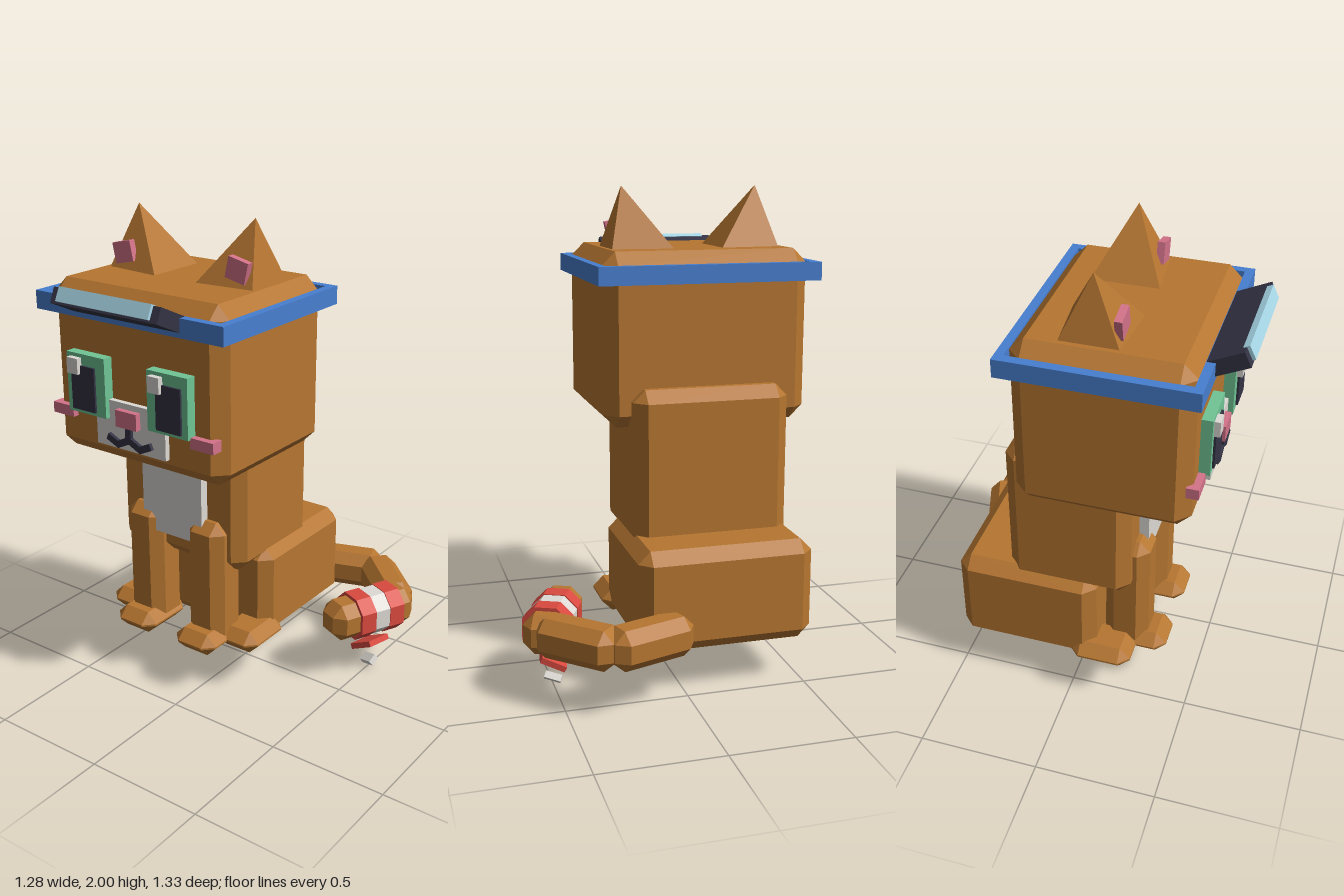
import * as THREE from 'three';
import { ConvexGeometry } from 'three/addons/geometries/ConvexGeometry.js';

const mat = (name, color) => {
  const m = new THREE.MeshStandardMaterial({ color });
  m.name = name;
  return m;
};

// Box of size w, h, d with all edges cut at 45 degrees by c
function chamferBox(w, h, d, c) {
  const pts = [];
  for (const sx of [-1, 1]) for (const sy of [-1, 1]) for (const sz of [-1, 1]) {
    const x = w / 2, y = h / 2, z = d / 2;
    pts.push(new THREE.Vector3(sx * x, sy * (y - c), sz * (z - c)));
    pts.push(new THREE.Vector3(sx * (x - c), sy * y, sz * (z - c)));
    pts.push(new THREE.Vector3(sx * (x - c), sy * (y - c), sz * z));
  }
  return new ConvexGeometry(pts);
}

// Eight-sided prism along z
function octPrism(w, c, d) {
  const r = w / 2, pts = [];
  for (const sx of [-1, 1]) for (const sy of [-1, 1]) for (const z of [-d / 2, d / 2]) {
    pts.push(new THREE.Vector3(sx * r, sy * (r - c), z), new THREE.Vector3(sx * (r - c), sy * r, z));
  }
  return new ConvexGeometry(pts);
}

export function createModel() {
  const fur = mat('fur brown', 0xb67631);
  const blue = mat('cap blue', 0x487fd0);
  const dark = mat('charcoal', 0x343344);
  const glass = mat('pale blue', 0xa8d8e8);
  const green = mat('eye green', 0x70c595);
  const white = mat('off white', 0xdedad5);
  const pink = mat('pink', 0xd4738a);
  const red = mat('red', 0xd94a40);

  const model = new THREE.Group();
  model.name = 'sittingCat';
  const CX = -0.175; // the body's mirror plane

  const add = (name, geo, material, x = 0, y = 0, z = 0) => {
    const m = new THREE.Mesh(geo, material);
    m.name = name;
    m.position.set(x, y, z);
    model.add(m);
    return m;
  };
  // Boxes given by their limits, plain or chamfered
  const box = (name, material, x0, x1, y0, y1, z0, z1, c = 0) => add(name,
    c ? chamferBox(x1 - x0, y1 - y0, z1 - z0, c) : new THREE.BoxGeometry(x1 - x0, y1 - y0, z1 - z0),
    material, (x0 + x1) / 2, (y0 + y1) / 2, (z0 + z1) / 2);

  // Body
  box('head', fur, -0.608, 0.255, 1.04, 1.75, -0.195, 0.497, 0.055);
  box('torso', fur, -0.505, 0.15, 0.54, 1.205, -0.275, 0.24, 0.05);
  box('haunches', fur, -0.54, 0.19, 0.18, 0.605, -0.495, 0.105, 0.05);
  box('chestPatch', white, -0.333, -0.02, 0.655, 1.1, 0.2, 0.28);

  // Face
  box('muzzle', white, -0.352, 0.0, 1.115, 1.31, 0.47, 0.52);
  box('nose', pink, -0.23, -0.124, 1.217, 1.286, 0.5, 0.545);
  box('mouthStem', dark, -0.192, -0.163, 1.155, 1.217, 0.51, 0.535);

  for (const s of [-1, 1]) {
    const side = s < 0 ? 'right' : 'left';
    const span = (name, m, a, b, ...rest) =>
      box(side + name, m, CX + (s < 0 ? -b : a), CX + (s < 0 ? -a : b), ...rest);

    // Legs and paws
    span('FrontLeg', fur, 0.07, 0.256, 0.2, 0.76, 0.115, 0.302, 0.045);
    span('FrontPaw', fur, 0.058, 0.268, 0.18, 0.278, 0.11, 0.385, 0.045);
    span('HindPaw', fur, 0.19, 0.4, 0.18, 0.278, 0.0, 0.262, 0.045);

    // Eyes, both glints lying toward the same side
    span('Eye', green, 0.107, 0.304, 1.235, 1.48, 0.48, 0.541);
    span('Pupil', dark, 0.155, 0.276, 1.25, 1.434, 0.5, 0.55);
    const gx = s < 0 ? -0.458 : -0.045;
    box(side + 'EyeGlint', white, gx, gx + 0.056, 1.4, 1.465, 0.52, 0.565);
    span('Cheek', pink, 0.3, 0.41, 1.198, 1.243, 0.475, 0.525);

    // Curved lip made of two short bars
    for (const [x0, y0, x1, y1] of [[0, 1.165, 0.058, 1.137], [0.055, 1.137, 0.105, 1.16]]) {
      const bar = add(side + 'Lip', new THREE.BoxGeometry(Math.hypot(x1 - x0, y1 - y0) + 0.012, 0.028, 0.025),
        dark, CX + s * (x0 + x1) / 2, (y0 + y1) / 2, 0.5225);
      bar.rotation.z = s * Math.atan2(y1 - y0, x1 - x0);
    }

    // Leaning pyramid ears with pink pads
    const ear = [[0.36, 1.74, -0.025], [0.097, 1.74, -0.05], [0.097, 1.74, 0.235],
      [0.36, 1.74, 0.21], [0.291, 2.0, 0.093]];
    add(side + 'Ear', new ConvexGeometry(ear.map(([x, y, z]) => new THREE.Vector3(CX + s * x, y, z))), fur);
    const pad = add(side + 'InnerEar', new THREE.BoxGeometry(0.094, 0.086, 0.03), pink, CX + s * 0.285, 1.818, 0.195);
    pad.rotation.z = -s * 0.22;
  }

  // Cap band: rectangular loop around the head
  const band = new THREE.Shape();
  const loop = (p, x0, x1, y0, y1) => p.moveTo(x0, y0).lineTo(x1, y0).lineTo(x1, y1).lineTo(x0, y1).closePath();
  loop(band, -0.642, 0.288, -0.528, 0.233);
  const opening = new THREE.Path();
  loop(opening, -0.603, 0.253, -0.493, 0.198);
  band.holes.push(opening);
  const bandGeo = new THREE.ExtrudeGeometry(band, { depth: 0.075, bevelEnabled: false });
  bandGeo.rotateX(-Math.PI / 2);
  add('capBand', bandGeo, blue, 0, 1.624, 0);

  // Upturned visor with a pale strip on its end
  const visor = new THREE.Group();
  visor.name = 'visor';
  visor.position.set(CX, 1.732, 0.64);
  visor.rotation.x = -0.44;
  model.add(visor);
  const slab = new THREE.Mesh(new THREE.BoxGeometry(0.527, 0.064, 0.19), dark);
  slab.name = 'visorSlab';
  slab.position.z = -0.095;
  const strip = new THREE.Mesh(new THREE.BoxGeometry(0.455, 0.058, 0.026), glass);
  strip.name = 'visorStrip';
  strip.position.set(0, 0.006, 0.0);
  visor.add(slab, strip);

  // Tail: three overlapping chamfered segments
  const TY = 0.28;
  const path = [[[0.0, -0.495], [0.345, -0.608]], [[0.31, -0.61], [0.567, -0.358]], [[0.58, -0.425], [0.405, -0.045]]];
  path.forEach(([a, b], i) => {
    const dx = b[0] - a[0], dz = b[1] - a[1];
    const seg = add('tailSegment' + (i + 1), chamferBox(0.165, 0.165, Math.hypot(dx, dz), 0.045), fur,
      (a[0] + b[0]) / 2, TY, (a[1] + b[1]) / 2);
    seg.rotation.y = Math.atan2(dx, dz);
  });

  // Striped wrap around the tail tip
  const [t0, t1] = path[2];
  const dir = new THREE.Vector2(t1[0] - t0[0], t1[1] - t0[1]).normalize();
  const yaw = Math.atan2(dir.x, dir.y);
  [red, white, red].forEach((m, i) => {
    const s = 0.122 + i * 0.073;
    const ring = add('tailBand' + (i + 1), octPrism(i === 1 ? 0.188 : 0.194, 0.052, 0.073), m,
      t0[0] + dir.x * s, TY, t0[1] + dir.y * s);
    ring.rotation.y = yaw;
  });

  // Loose ends hanging below the wrap
  const redEnd = add('redLooseEnd', new THREE.BoxGeometry(0.11, 0.025, 0.13), red, 0.5, 0.121, -0.25);
  redEnd.rotation.set(-0.1, -0.15, 0.45);
  const whiteEnd = add('whiteLooseEnd', new THREE.BoxGeometry(0.07, 0.028, 0.042), white, 0.5, 0.034, -0.248);
  whiteEnd.rotation.set(0.6, -0.15, 0.42);

  return model;
}
